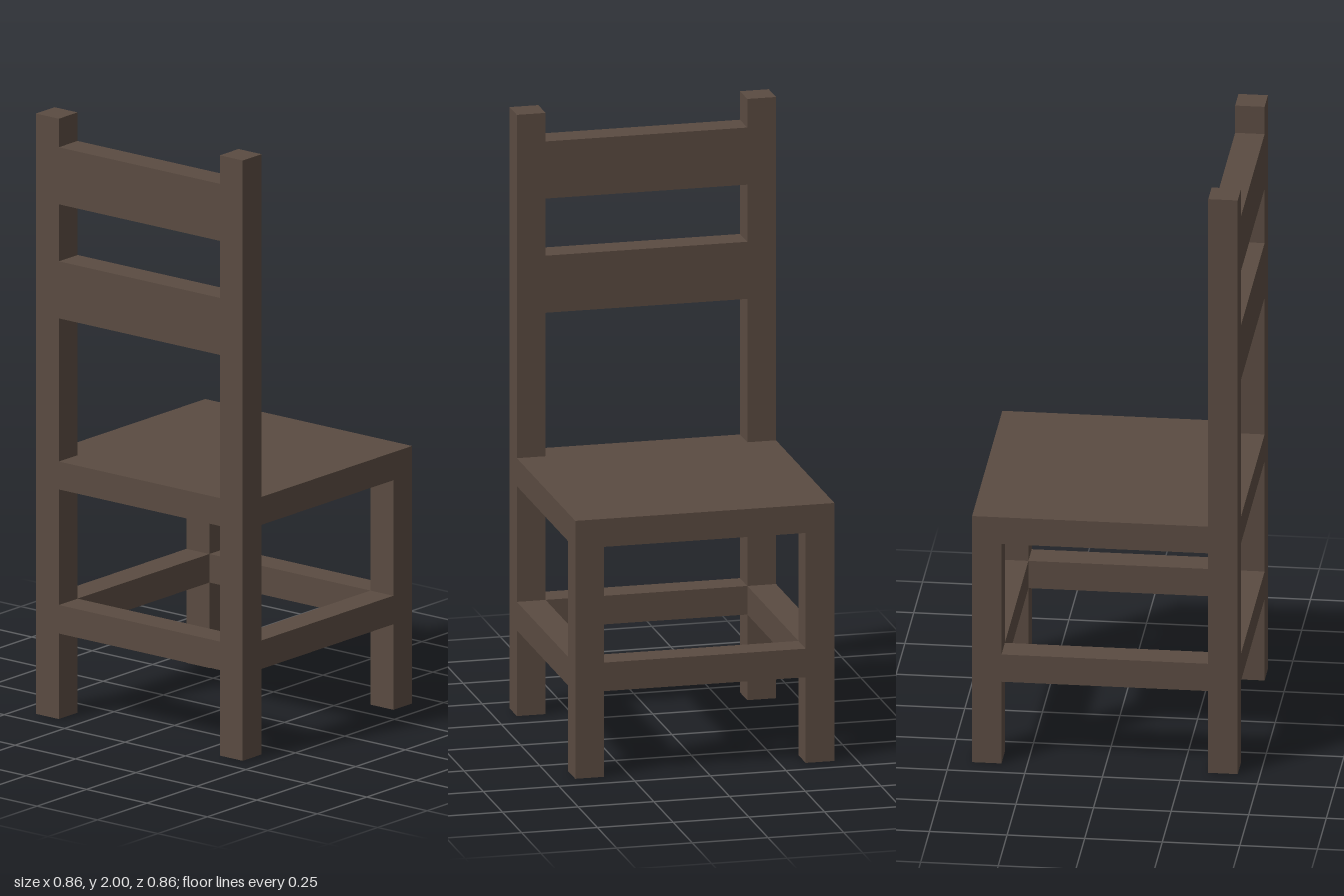
import * as THREE from 'three';

const H = 0.428;       // half width and half depth
const T = 0.095;       // post thickness
const I = H - T;       // inner face of the posts
const C = H - T / 2;   // post centre line
const SEAT_TOP = 0.858;
const SEAT_BOTTOM = 0.765;

export function createModel() {
  const chair = new THREE.Group();
  chair.name = 'chair';
  const wood = new THREE.MeshStandardMaterial({ color: 0x5a4b41, flatShading: true });

  const add = (name, geometry) => {
    const mesh = new THREE.Mesh(geometry, wood);
    mesh.name = name;
    chair.add(mesh);
    return mesh;
  };
  // box standing between heights y0 and y1
  const beam = (name, w, d, y0, y1, x, z) =>
    add(name, new THREE.BoxGeometry(w, y1 - y0, d)).position.set(x, (y0 + y1) / 2, z);

  // legs: the pair at +z runs up to carry the backrest
  for (const [side, s] of [['left', 1], ['right', -1]]) {
    beam(side + 'BackPost', T, T, 0, 2, s * C, C);
    beam(side + 'FrontLeg', T, T, 0, SEAT_BOTTOM, s * C, -C);
    beam(side + 'Stretcher', T, 2 * I, 0.285, 0.38, s * C, 0);
  }
  beam('backStretcher', 2 * I, T, 0.285, 0.38, 0, C);
  beam('frontStretcher', 2 * I, T, 0.285, 0.38, 0, -C);

  // solid seat, notched around the back posts
  const outline = new THREE.Shape([
    [-H, -H], [H, -H], [H, I], [I, I], [I, H], [-I, H], [-I, I], [-H, I],
  ].map(([x, z]) => new THREE.Vector2(x, z)));
  const seat = new THREE.ExtrudeGeometry(outline, { depth: SEAT_TOP - SEAT_BOTTOM, bevelEnabled: false });
  seat.rotateX(Math.PI / 2);
  add('seat', seat).position.y = SEAT_TOP;

  // backrest slats, flush with the posts
  beam('lowerBackSlat', 2 * I, T, 1.335, 1.525, 0, C);
  beam('upperBackSlat', 2 * I, T, 1.715, 1.905, 0, C);

  return chair;
}
